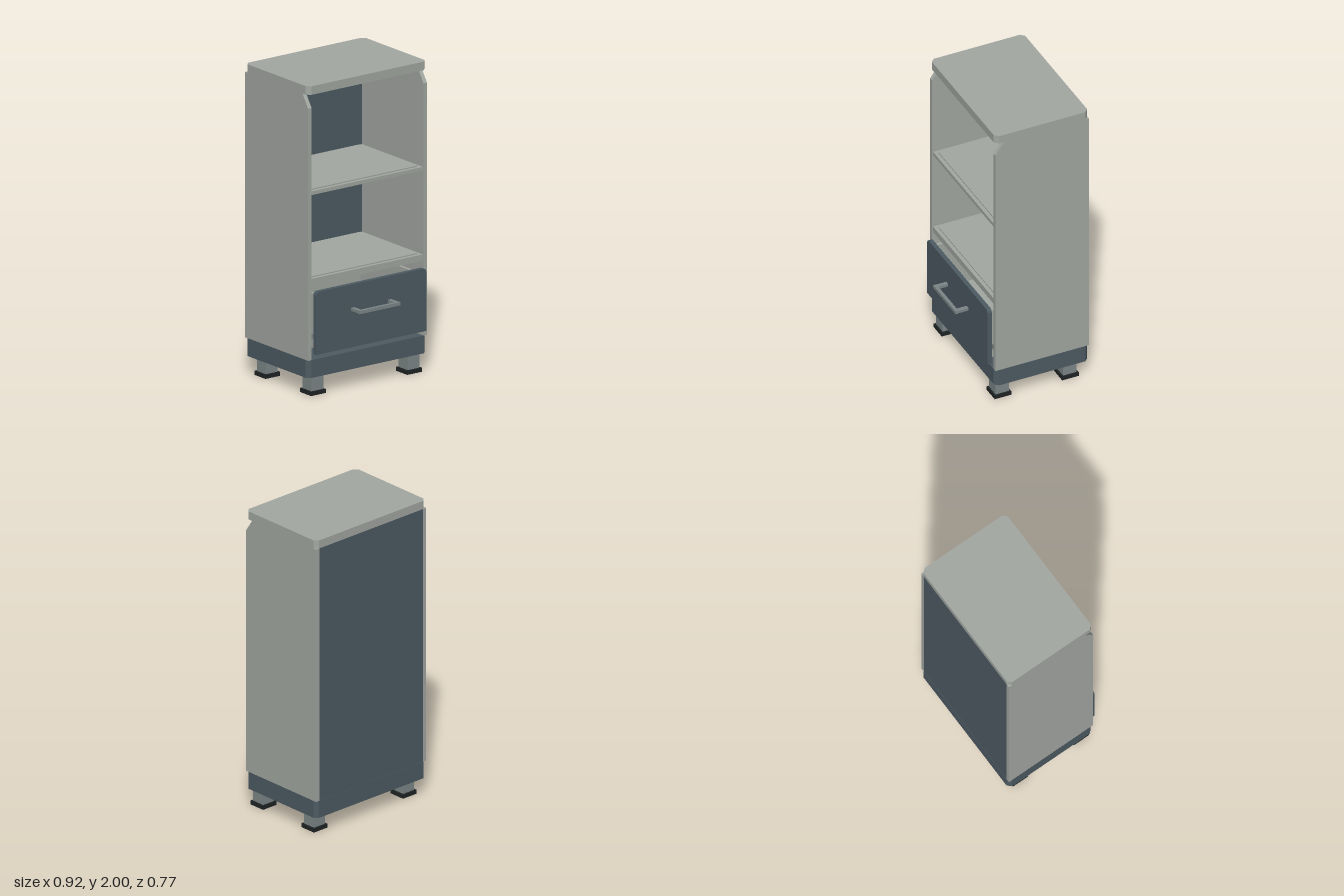
import * as THREE from 'three';

const mat = (name, color) => Object.assign(new THREE.MeshStandardMaterial({ color }), { name });

export function createModel() {
  const root = new THREE.Group();
  root.name = 'cabinet';
  const grey = mat('light grey', 0xa3a8a2);
  const slate = mat('slate blue', 0x4d5b63);
  const metal = mat('metal grey', 0x7d8788);
  const rubber = mat('black rubber', 0x1f2425);

  const add = (name, geo, material, parent = root) => {
    const mesh = new THREE.Mesh(geo, material);
    mesh.name = name;
    parent.add(mesh);
    return mesh;
  };
  // box given by its limits on each axis
  const box = (name, material, [x0, x1], [y0, y1], [z0, z1], parent) =>
    add(name, new THREE.BoxGeometry(x1 - x0, y1 - y0, z1 - z0)
      .translate((x0 + x1) / 2, (y0 + y1) / 2, (z0 + z1) / 2), material, parent);
  const prism = (points, depth) => new THREE.ExtrudeGeometry(
    new THREE.Shape(points.map(p => new THREE.Vector2(...p))), { depth, bevelEnabled: false });
  // horizontal slab with four cut corners
  const slab = (name, material, [y0, y1], [z0, z1], w, c) => {
    const pts = [[-w + c, -z1], [w - c, -z1], [w, -z1 + c], [w, -z0 - c],
      [w - c, -z0], [-w + c, -z0], [-w, -z0 - c], [-w, -z1 + c]];
    return add(name, prism(pts, y1 - y0).rotateX(-Math.PI / 2).translate(0, y0, 0), material);
  };

  const W = 0.462, IN = 0.435, BACK = -0.384, FRONT = 0.257;

  // plinth and worktop
  slab('plinth', slate, [0.12, 0.235], [BACK, FRONT], W, 0.025);
  slab('top', grey, [1.945, 2], [BACK, FRONT], W, 0.025);

  // side panels with a sloped upper front corner
  const profile = [[-FRONT, 0.235], [-BACK, 0.235], [-BACK, 1.945], [-0.2, 1.945], [-FRONT, 1.86]];
  for (const [name, x] of [['leftSide', IN], ['rightSide', -W]])
    add(name, prism(profile, W - IN).rotateY(Math.PI / 2).translate(x, 0, 0), grey);

  box('backPanel', slate, [-IN, IN], [0.235, 1.945], [BACK + 0.002, BACK + 0.018]);

  // shelves, each with a thin raised mat
  for (const [name, y0, y1] of [['lowerShelf', 0.715, 0.756], ['upperShelf', 1.296, 1.32]]) {
    box(name, grey, [-IN, IN], [y0, y1], [BACK + 0.018, 0.25]);
    box(name + 'Mat', grey, [-0.41, 0.41], [y1, y1 + 0.007], [BACK + 0.03, 0.225]);
  }

  // drawer: open box, front panel and handle
  const drawer = new THREE.Group();
  drawer.name = 'drawer';
  root.add(drawer);
  box('drawerBottom', grey, [-0.4, 0.4], [0.3, 0.315], [-0.33, 0.265], drawer);
  box('drawerBack', grey, [-0.38, 0.38], [0.315, 0.65], [-0.33, -0.31], drawer);
  box('drawerInnerFront', grey, [-0.38, 0.38], [0.315, 0.65], [0.245, 0.265], drawer);
  for (const s of [-1, 1]) {
    const span = (a, b) => s > 0 ? [a, b] : [-b, -a];
    box('drawerSide', grey, span(0.38, 0.4), [0.315, 0.65], [-0.33, 0.265], drawer);
    box('drawerRunner', metal, span(0.4, IN), [0.365, 0.4], [-0.33, 0.25], drawer);
    box('handlePost', metal, span(0.13, 0.157), [0.511, 0.53], [0.293, 0.362], drawer);
  }
  const d = 0.428, c = 0.022;
  const face = [[-d, 0.275], [d, 0.275], [d, 0.68 - c], [d - c * 0.3, 0.68 - c * 0.3],
    [d - c, 0.68], [-d + c, 0.68], [-d + c * 0.3, 0.68 - c * 0.3], [-d, 0.68 - c]];
  add('drawerFront', prism(face, 0.029).translate(0, 0, 0.265), slate, drawer);
  box('handleBar', metal, [-0.158, 0.158], [0.51, 0.531], [0.362, 0.384], drawer);

  // four feet on rubber pads
  for (const x of [-0.374, 0.374]) for (const z of [-0.273, 0.19]) {
    box('leg', metal, [x - 0.046, x + 0.046], [0.025, 0.12], [z - 0.046, z + 0.046]);
    box('footPad', rubber, [x - 0.057, x + 0.057], [0, 0.026], [z - 0.057, z + 0.057]);
  }
  return root;
}
